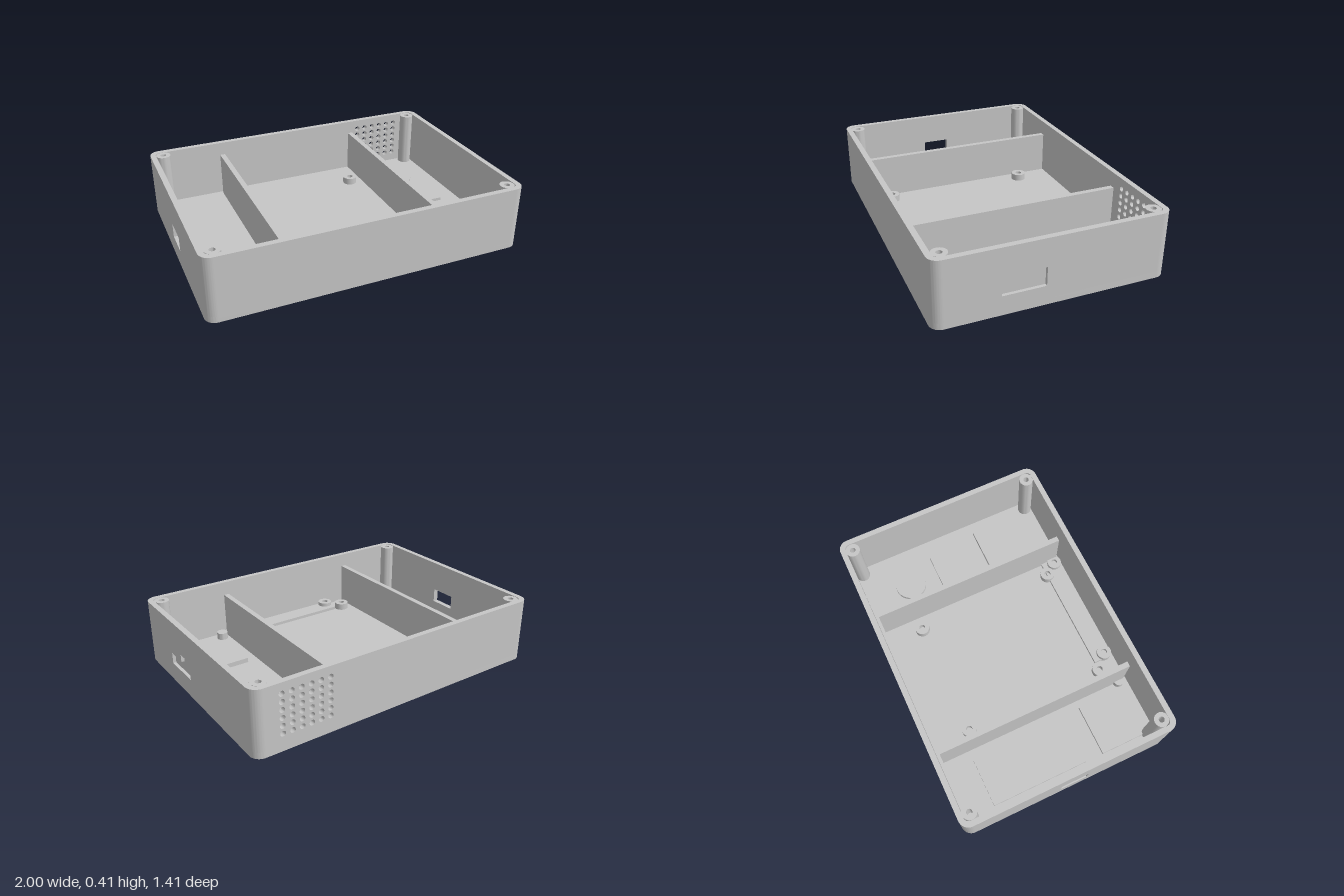
import * as THREE from 'three';
import { toCreasedNormals } from 'three/addons/utils/BufferGeometryUtils.js';

const X = 1, Z = 0.705, TOP = 0.413; // outer half sizes and height
const T = 0.035, FLOOR = 0.04, R = 0.065; // wall, floor and corner radius
const PAD = 0.06; // top of the raised middle floor

export function createModel() {
  const group = new THREE.Group();
  const grey = new THREE.MeshStandardMaterial({ color: 0xc6c6c6 });
  grey.name = 'light grey plastic';

  const add = (name, geo, x = 0, y = 0, z = 0) => {
    const mesh = new THREE.Mesh(toCreasedNormals(geo, 0.6), grey);
    mesh.name = name;
    mesh.position.set(x, y, z);
    group.add(mesh);
  };
  const extrude = (shape, depth) =>
    new THREE.ExtrudeGeometry(shape, { depth, bevelEnabled: false, curveSegments: 10 });
  const polygon = (pts, Type = THREE.Shape) => new Type(pts.map(([a, b]) => new THREE.Vector2(a, b)));
  const rect = (a0, b0, a1, b1, Type) => polygon([[a0, b0], [a1, b0], [a1, b1], [a0, b1]], Type);
  // box given by its limits
  const block = (name, x0, x1, y0, y1, z0, z1) =>
    add(name, new THREE.BoxGeometry(x1 - x0, y1 - y0, z1 - z0), (x0 + x1) / 2, (y0 + y1) / 2, (z0 + z1) / 2);
  // round post with a blind screw hole
  const post = (name, x, z, r, hole, top, holeBottom) => {
    const profile = [[r, FLOOR - 0.01], [r, top], [hole, top], [hole, holeBottom], [0, holeBottom]];
    add(name, new THREE.LatheGeometry(profile.map(([a, b]) => new THREE.Vector2(a, b)), 28), x, 0, z);
  };

  // floor plate with rounded corners
  const base = new THREE.Shape();
  base.moveTo(X, -Z + R);
  base.absarc(X - R, Z - R, R, 0, Math.PI / 2);
  base.absarc(-X + R, Z - R, R, Math.PI / 2, Math.PI);
  base.absarc(-X + R, -Z + R, R, Math.PI, Math.PI * 1.5);
  base.absarc(X - R, -Z + R, R, Math.PI * 1.5, Math.PI * 2);
  add('floor', extrude(base, FLOOR).rotateX(-Math.PI / 2));

  // front and back walls, the back one with a grid of vent holes
  const front = rect(-X + R, FLOOR, X - R, TOP);
  const back = rect(-X + R, FLOOR, X - R, TOP);
  for (let i = 0; i < 6; i++) {
    for (let j = 0; j < 6; j++) {
      const vent = new THREE.Path();
      vent.absarc(0.53 + i * 0.06, 0.108 + j * 0.048, 0.017, 0, Math.PI * 2, true);
      back.holes.push(vent);
    }
  }
  add('frontWall', extrude(front, T), 0, 0, Z - T);
  add('backWall', extrude(back, T), 0, 0, -Z);

  // left wall: stepped recess in the outer layer, closed by the inner layer
  const recess = 0.02;
  const left = rect(-Z + R, FLOOR, Z - R, TOP);
  left.holes.push(polygon(
    [[0.32, 0.12], [0.06, 0.12], [0.06, 0.237], [0.18, 0.237], [0.18, 0.188], [0.32, 0.188]], THREE.Path));
  add('leftWallOuter', extrude(left, recess).rotateY(-Math.PI / 2), X);
  block('leftWallInner', X - T, X - recess, FLOOR, TOP, -Z + R, Z - R);

  // right wall with a connector opening
  const right = rect(-Z + R, FLOOR, Z - R, TOP);
  right.holes.push(rect(-0.058, 0.12, 0.12, 0.213, THREE.Path));
  add('rightWall', extrude(right, T).rotateY(-Math.PI / 2), -X + T);

  // rounded wall corners and their screw posts
  for (let k = 0; k < 4; k++) {
    const a = k * Math.PI / 2;
    const sx = k === 0 || k === 3 ? 1 : -1, sz = k < 2 ? -1 : 1;
    const arc = new THREE.Shape();
    arc.absarc(0, 0, R, a, a + Math.PI / 2, false);
    arc.absarc(0, 0, R - T, a + Math.PI / 2, a, true);
    add('wallCorner', extrude(arc, TOP - FLOOR).rotateX(-Math.PI / 2), sx * (X - R), FLOOR, sz * (Z - R));
    post('cornerPost', sx * 0.918, sz * 0.627, 0.046, 0.018, TOP - 0.002, 0.2);
  }

  // inner dividers and the raised floor between them
  block('divider', -0.53, -0.496, FLOOR - 0.01, 0.335, -0.648, 0.643);
  block('divider', 0.443, 0.477, FLOOR - 0.01, 0.335, -0.648, 0.643);
  block('centrePad', -0.5, 0.445, FLOOR - 0.01, PAD, -0.648, 0.643);

  // ledge, board standoffs and pegs
  block('ledge', -0.355, 0.444, FLOOR - 0.01, 0.08, 0.528, 0.643);
  for (const [x, z] of [[-0.413, -0.413], [0.352, -0.413], [-0.413, 0.528], [0.352, 0.528], [-0.32, 0.61], [0.412, 0.61]])
    post('standoff', x, z, 0.047, 0.02, 0.104, PAD + 0.003);
  for (const x of [-0.53, 0.527])
    add('peg', new THREE.CylinderGeometry(0.035, 0.035, 0.05, 28), x, 0.06, 0.61);

  // raised component pads in the side bays
  block('longPad', -0.91, -0.58, FLOOR - 0.01, 0.06, -0.47, 0.173);
  block('shortPad', -0.91, -0.58, FLOOR - 0.01, 0.06, 0.293, 0.583);
  block('smallPad', 0.6, 0.832, FLOOR - 0.01, 0.06, -0.155, 0.056);
  block('largePad', 0.55, 0.88, FLOOR - 0.01, 0.07, 0.2, 0.523);
  add('roundPad', new THREE.CylinderGeometry(0.105, 0.105, 0.03, 40), 0.703, 0.045, -0.355);

  return group;
}
